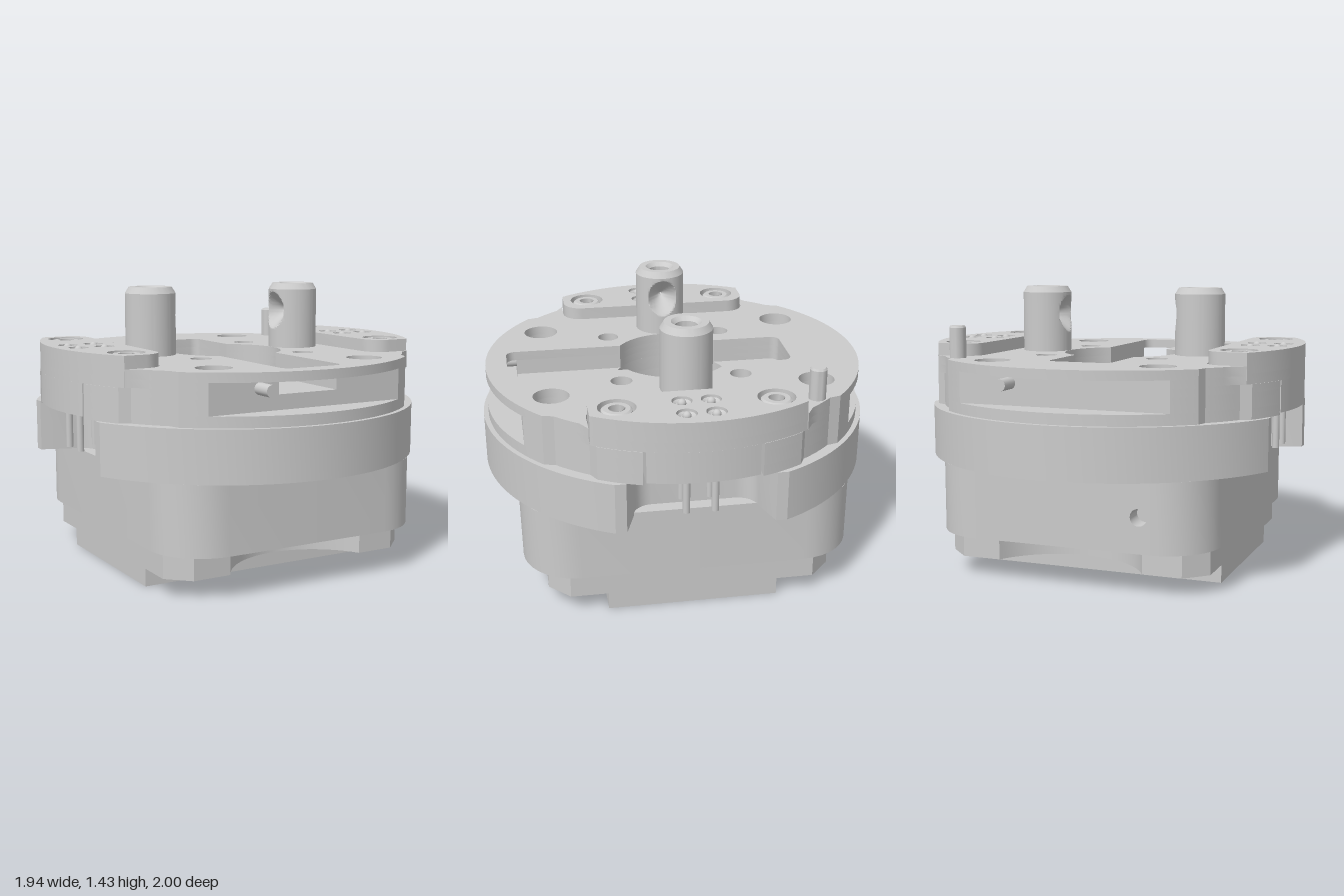
import * as THREE from 'three';
import { toCreasedNormals } from 'three/addons/utils/BufferGeometryUtils.js';

const mat = new THREE.MeshStandardMaterial({ color: 0xcccccc });
const thin = new THREE.MeshStandardMaterial({ color: 0xcccccc, side: THREE.DoubleSide });

const arc = (cx, cz, r, a0, a1, n) => Array.from({ length: n + 1 }, (_, i) => {
  const a = a0 + (a1 - a0) * i / n;
  return [cx + r * Math.cos(a), cz + r * Math.sin(a)];
});
const circle = (x, z, r, n = 28) => arc(x, z, r, 0, Math.PI * 2, n).slice(0, n);

// Mirror a quadrant of [x, z] points (from the x axis to the z axis) into a closed outline.
function mirror4(q) {
  const r = [...q].reverse();
  const all = [...q, ...r.map(([x, z]) => [-x, z]), ...q.map(([x, z]) => [-x, -z]), ...r.map(([x, z]) => [x, -z])];
  const far = (a, b) => Math.hypot(a[0] - b[0], a[1] - b[1]) > 1e-4;
  return all.filter((p, i) => far(p, all[(i + 1) % all.length]));
}

// Disc with flats (xc, zc), round-cornered side pockets {x, z, flare} and shallow corner notches.
function discOutline({ R, xc = 9, zc = 9, pocket, notch }) {
  const angles = [];
  for (let d = 0; d <= 90; d += 3) angles.push(THREE.MathUtils.degToRad(d));
  if (xc < R) angles.push(Math.acos(xc / R));
  if (zc < R) angles.push(Math.asin(zc / R));
  angles.sort((a, b) => a - b);
  const q = angles.map(a => {
    const c = Math.max(Math.cos(a), 1e-9), s = Math.max(Math.sin(a), 1e-9);
    let r = Math.min(R, xc / c, zc / s);
    if (notch && r * s > 0.5 && r * s < 0.69) r = Math.min(r, 0.945);
    return [a > 1.5707 ? 0 : r * c, r * s];
  });
  const { x, z, flare = 0 } = pocket, ze = z + flare;
  const xe = Math.min(xc, Math.sqrt(R * R - ze * ze));
  return mirror4([[x, 0], ...arc(x + 0.1, z - 0.1, 0.1, Math.PI, Math.PI / 2, 6), [xe, ze],
    ...q.filter(p => p[1] > ze + 0.005)]);
}

// Replace the run of outline points passing the test by other points.
function replaceRun(pts, test, insert) {
  const i = pts.findIndex(test);
  const out = pts.filter(p => !test(p));
  out.splice(i, 0, ...insert);
  return out;
}

function add(parent, name, geometry, x = 0, y = 0, z = 0, material = mat) {
  const m = new THREE.Mesh(geometry, material);
  m.name = name;
  m.position.set(x, y, z);
  parent.add(m);
  return m;
}

// Upright slab from an [x, z] outline; all loops are wound counterclockwise first.
function slab(parent, name, pts, y0, y1, holes = []) {
  const loop = p => {
    const v = p.map(([x, z]) => new THREE.Vector2(x, -z));
    return THREE.ShapeUtils.isClockWise(v) ? v.reverse() : v;
  };
  const shape = new THREE.Shape(loop(pts));
  holes.forEach(h => shape.holes.push(new THREE.Path(loop(h))));
  const g = new THREE.ExtrudeGeometry(shape, { depth: y1 - y0, bevelEnabled: false });
  g.rotateX(-Math.PI / 2);
  return add(parent, name, toCreasedNormals(g, 0.4), 0, y0, 0);
}

function lathe(profile, n = 28) {
  return toCreasedNormals(new THREE.LatheGeometry(profile.map(p => new THREE.Vector2(...p)), n), 0.5);
}

// Keyway joined with the central bore, ending at z = front, with round or open front corners.
function keyway(front, closed) {
  const w = 0.165, r = 0.305, c = 0.045, a = Math.acos(w / r), h = Math.PI / 2;
  const right = closed ? arc(w - c, front - c, c, h, 0, 5) : [[w, front]];
  const left = [...right].reverse().map(([x, z]) => [-x, z]);
  return [...right, ...arc(0, 0, r, a, -a, 20), ...arc(w - c, c - 0.61, c, 0, -h, 5),
    ...arc(c - w, c - 0.61, c, -h, -2 * h, 5), ...arc(0, 0, r, Math.PI + a, Math.PI - a, 20), ...left];
}

// Hollow locating post with a conical dimple on its +x side.
function postGeometry() {
  const p = [[0, 0.27], [0.055, 0.29], [0.055, 0.33], [0.075, 0.35], [0.11, 0.35], [0.13, 0.318]];
  for (let i = 1; i <= 40; i++) p.push([0.13, 0.318 * (1 - i / 40)]);
  const g = new THREE.LatheGeometry(p.reverse().map(v => new THREE.Vector2(...v)), 80);
  const pos = g.attributes.position;
  for (let i = 0; i < pos.count; i++) {
    const x = pos.getX(i), z = pos.getZ(i), rho = Math.hypot(z, pos.getY(i) - 0.205);
    if (x > 0 && Math.hypot(x, z) > 0.125) pos.setX(i, Math.min(x, 0.02 + 1.1 * rho));
  }
  return toCreasedNormals(g, 0.5);
}

export function createModel() {
  const root = new THREE.Group();
  root.name = 'toolChanger';

  // Base plate with a grid of small holes underneath
  const plate = [[-0.69, -0.435], [0.69, -0.435], [0.69, 0.435], [-0.69, 0.435]];
  const dots = [];
  for (const s of [-1, 1]) for (let i = 0; i < 4; i++) for (let j = 0; j < 6; j++)
    dots.push(circle(s * (0.115 + 0.155 * i), -0.33 + 0.132 * j, 0.018, 12));
  slab(root, 'basePlateUnderside', plate, 0, 0.03, dots);
  slab(root, 'basePlate', plate, 0.03, 0.09);

  // Foot with chamfered corners, scalloped front and back, countersunk holes
  const a0 = Math.atan2(-0.2, 0.38);
  const foot = mirror4([[0.69, 0], [0.69, 0.625], [0.58, 0.73], ...arc(0, 0.93, 0.43, a0, -Math.PI / 2, 12)]);
  const corners = [[1, 1], [1, -1], [-1, 1], [-1, -1]];
  slab(root, 'foot', foot, 0.09, 0.22, corners.map(([a, b]) => circle(a * 0.57, b * 0.6, 0.075)));
  const sink = lathe([[0.075, 0], [0.035, 0.055], [0.035, 0.13]]);
  for (const [a, b] of corners) add(root, 'countersink', sink, a * 0.57, 0.09, b * 0.6, thin);

  // Lower body with rounded corners and a drilled panel at the back
  const bx = 0.45;
  const body = replaceRun(mirror4([[0.73, 0], ...arc(bx, 0.565, 0.28, 0, Math.PI / 2, 9), [0, 0.845]]),
    p => p[1] < -0.8449, [[-bx, -0.845], [-bx, -0.745], [bx, -0.745], [bx, -0.845]]);
  slab(root, 'lowerBody', body, 0.22, 0.57);
  const panel = slab(root, 'backPanel', [[-bx, -0.175], [bx, -0.175], [bx, 0.175], [-bx, 0.175]], 0, 0.1,
    [circle(-0.402, 0, 0.042)]);
  panel.rotation.x = -Math.PI / 2;
  panel.position.set(0, 0.395, -0.745);

  // Middle ring with side recesses
  slab(root, 'middleRing', discOutline({ R: 1, xc: 0.91, pocket: { x: 0.66, z: 0.31, flare: 0.05 } }), 0.57, 0.83);

  // Upper ring, stacked in layers: slots at front and back, keyway, bore and holes
  const bolts = corners.flatMap(([a, b]) => [circle(a * 0.435, b * 0.665, 0.09), circle(a * 0.305, b * 0.305, 0.055)]);
  const low = [...bolts, circle(0, 0, 0.305, 48), circle(0, 0.43, 0.065), circle(0, -0.43, 0.065)];
  const ring = (zc, z) => discOutline({ R: 0.975, zc, pocket: { x: 0.605, z }, notch: true });
  const open = pts => replaceRun(pts, p => Math.abs(p[0]) < 0.17 && p[1] > 0.8, keyway(0.81, false));
  slab(root, 'upperRingBase', ring(9, 0.285), 0.83, 0.885, low);
  slab(root, 'upperRingWall', ring(0.81, 0.285), 0.885, 0.96, low);
  slab(root, 'upperRingKeyway', open(ring(0.81, 0.285)), 0.96, 1.0, bolts);
  slab(root, 'upperRingShoulder', open(ring(0.81, 0.52)), 1.0, 1.04, bolts);
  slab(root, 'upperRingFlange', ring(9, 0.52), 1.04, 1.087, [...bolts, keyway(0.865, true)]);

  // Pins in the front and back slots
  for (const s of [-1, 1]) {
    const pin = add(root, 'slotPin', new THREE.CylinderGeometry(0.03, 0.03, 0.14, 20), -s * 0.27, 0.995, s * 0.85);
    pin.rotation.x = Math.PI / 2;
  }

  // Alignment pin
  add(root, 'alignmentPin', lathe([[0.042, 0], [0.042, 0.41], [0.036, 0.42], [0, 0.42]]), 0.66, 0.83, -0.605);

  // Locating posts, dimples facing the centre
  const post = postGeometry();
  for (const s of [-1, 1]) {
    const m = add(root, 'locatingPost', post, s * 0.435, 1.085, 0);
    if (s > 0) m.rotation.y = Math.PI;
  }

  // Side contact blocks (the second is the first turned half round)
  const screw = lathe([[0.075, -0.05], [0.075, -0.008], [0.065, 0], [0.04, 0], [0.04, -0.035], [0, -0.035]]);
  const sleeve = lathe([[0.043, 0], [0.043, 0.09], [0.03, 0.08], [0, 0.08]], 20);
  const rim = h => { const a = Math.asin(h / 0.972); return arc(0, 0, 0.972, -a, a, 20); };
  for (const s of [-1, 1]) {
    const block = new THREE.Group();
    block.name = s > 0 ? 'leftContactBlock' : 'rightContactBlock';
    root.add(block);
    if (s < 0) block.rotation.y = Math.PI;
    const top = [...rim(0.515), ...arc(0.71, 0.415, 0.1, Math.PI / 2, Math.PI, 8),
      ...arc(0.71, -0.415, 0.1, Math.PI, Math.PI * 1.5, 8)];
    const holes = [circle(0.75, 0.38, 0.092), circle(0.75, -0.38, 0.092)];
    const contacts = [0.725, 0.865].flatMap(x => [[x, 0.07], [x, -0.07]]);
    contacts.forEach(([x, z]) => holes.push(circle(x, z, 0.05, 20)));
    slab(block, 'blockTop', top, 1.05, 1.15, holes);
    slab(block, 'blockShelf', top, 1.0, 1.05);
    slab(block, 'blockStem', [...rim(0.27), [0.61, 0.27], [0.61, -0.27]], 0.84, 1.0);
    for (const z of [-0.38, 0.38]) {
      add(block, 'screwHead', screw, 0.75, 1.145, z);
      add(block, 'hexSocket', new THREE.CylinderGeometry(0.04, 0.04, 0.035, 6, 1, true), 0.75, 1.1275, z, thin);
    }
    for (const [x, z] of contacts) {
      add(block, 'contactSleeve', sleeve, x, 1.05, z);
      add(block, 'contactTip', new THREE.SphereGeometry(0.021, 14, 10), x, 1.138, z);
      add(block, 'contactPin', new THREE.CylinderGeometry(0.018, 0.018, 0.22, 14), x, 0.74, z);
    }
  }
  return root;
}
